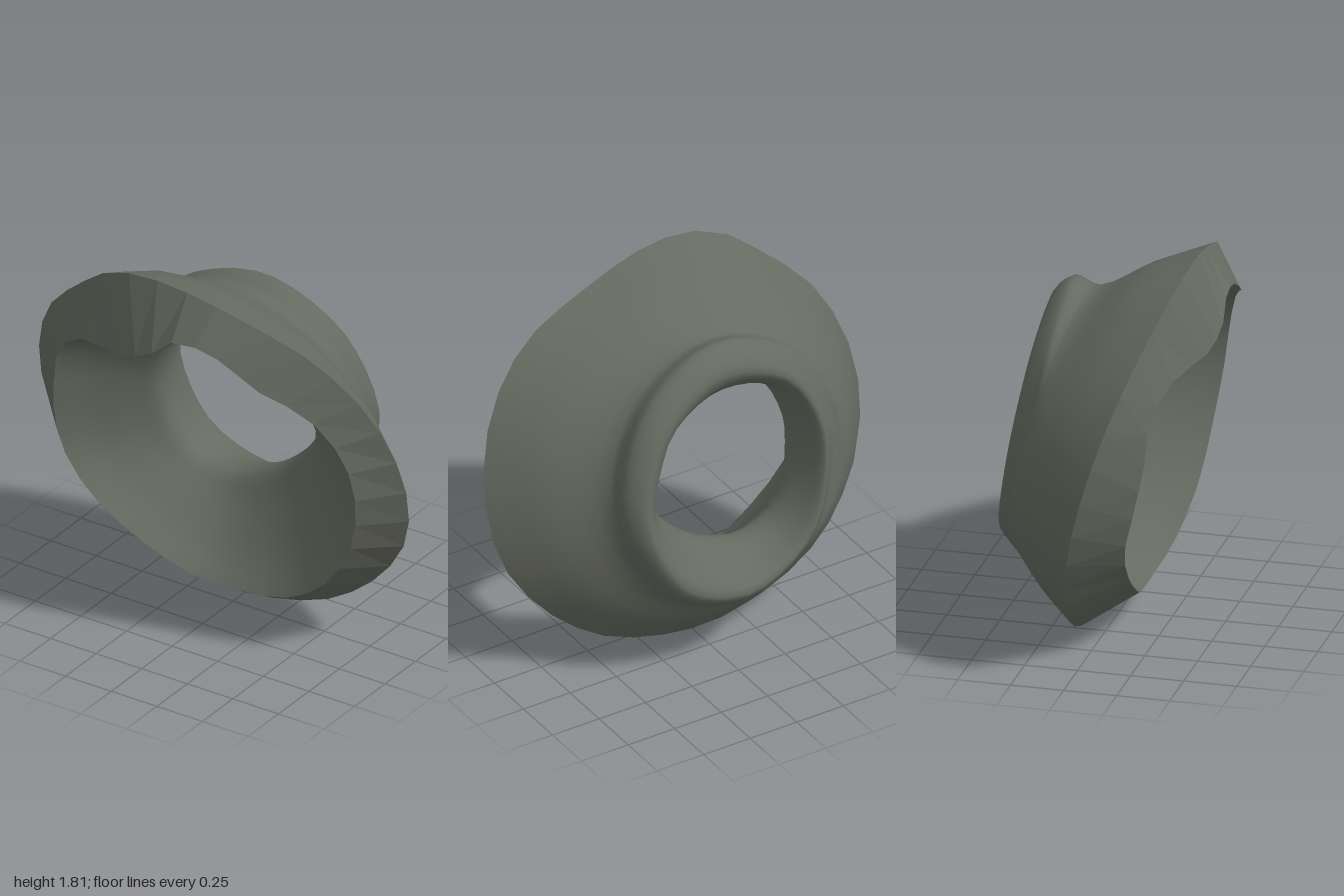
import * as THREE from 'three';

const SIDES = 36;
const stone = new THREE.MeshStandardMaterial({ color: 0x666a60 });
stone.name = 'grey green stone';

// Closed loop through points, resampled at even angles about a centre
function outline(points, cx, cy) {
  const dense = new THREE.CatmullRomCurve3(
    points.map(p => new THREE.Vector3(...p)), true).getPoints(900);
  return Array.from({ length: SIDES }, (_, i) => {
    const a = i / SIDES * Math.PI * 2;
    const facing = p => Math.cos(Math.atan2(p.y - cy, p.x - cx) - a);
    return dense.reduce((best, p) => (facing(p) > facing(best) ? p : best)).clone();
  });
}

// Slightly lumpy tilted ellipse
function oval(cx, cy, rx, ry, depth, lump = 0) {
  return Array.from({ length: SIDES }, (_, i) => {
    const a = i / SIDES * Math.PI * 2;
    const k = 1 + lump * (Math.sin(a * 5 + 1) + Math.sin(a * 8 + 2));
    const x = cx + rx * k * Math.cos(a), y = cy + ry * k * Math.sin(a);
    return new THREE.Vector3(x, y, depth(x, y));
  });
}

// Loop part way between two others, pushed outwards by a factor
function between(a, b, t, bulge, lump = 0) {
  return a.map((p, i) => {
    const q = p.clone().lerp(b[i], t);
    const ang = i / SIDES * Math.PI * 2;
    const k = bulge + lump * (Math.sin(ang * 4 + 0.6) + Math.sin(ang * 7));
    q.x *= k;
    q.y = 0.92 + (q.y - 0.92) * k;
    return q;
  });
}

// Skin a sequence of loops
function loft(loops, flat) {
  const index = [];
  for (let r = 0; r < loops.length - 1; r++) {
    for (let i = 0; i < SIDES; i++) {
      const j = (i + 1) % SIDES;
      const a = r * SIDES + i, b = r * SIDES + j;
      index.push(a, b, b + SIDES, a, b + SIDES, a + SIDES);
    }
  }
  let geo = new THREE.BufferGeometry().setFromPoints(loops.flat());
  geo.setIndex(index);
  if (flat) geo = geo.toNonIndexed();
  geo.computeVertexNormals();
  return geo;
}

export function createModel() {
  const group = new THREE.Group();
  group.name = 'hollowRing';
  const add = (name, geo) => {
    const mesh = new THREE.Mesh(geo, stone);
    mesh.name = name;
    group.add(mesh);
  };

  // Wide outer rim, tilted and slightly dished
  const rimDepth = y => -0.1 + 0.11 * y + 0.087 * y * y;
  const rim = outline([
    [1, 0.9], [0.96, 1.17], [0.86, 1.38], [0.64, 1.59], [0.3, 1.72], [0, 1.8], [-0.2, 1.815],
    [-0.42, 1.77], [-0.65, 1.6], [-0.85, 1.4], [-0.95, 1.2], [-1, 0.95], [-0.96, 0.65],
    [-0.83, 0.42], [-0.65, 0.21], [-0.4, 0.07], [-0.05, 0], [0.4, 0.09], [0.66, 0.25],
    [0.85, 0.45], [0.96, 0.65],
  ].map(([x, y]) => [x, y, rimDepth(y)]), 0, 0.92);

  // Front lip
  const lip = outline([
    [0.85, 0.92, 0.27], [0.8, 1.15, 0.31], [0.65, 1.35, 0.38], [0.45, 1.45, 0.455],
    [0.23, 1.57, 0.48], [0.02, 1.6, 0.5], [-0.12, 1.5, 0.515], [-0.3, 1.43, 0.49],
    [-0.54, 1.4, 0.41], [-0.72, 1.27, 0.34], [-0.77, 1.05, 0.32], [-0.79, 0.8, 0.27],
    [-0.75, 0.6, 0.22], [-0.6, 0.42, 0.2], [-0.35, 0.26, 0.17], [-0.12, 0.16, 0.135],
    [0.1, 0.16, 0.135], [0.4, 0.22, 0.16], [0.65, 0.4, 0.2], [0.8, 0.65, 0.23],
  ], 0, 0.92);

  // Narrow throat, set well forward of the rolled collar
  const back = (x, y) => Math.max(-0.52, -0.6 + 0.18 * y - 0.08 * x);
  const throat = outline([
    [0.33, 0.9], [0.26, 1.1], [0.2, 1.22], [0.08, 1.29], [-0.1, 1.32], [-0.3, 1.28],
    [-0.4, 1.2], [-0.48, 1], [-0.48, 0.87], [-0.45, 0.74], [-0.35, 0.59], [-0.2, 0.54],
    [-0.05, 0.57], [0.1, 0.64], [0.26, 0.78],
  ].map(([x, y]) => [x, y, back(x, y) + 0.27]), -0.08, 0.93);
  const crest = oval(-0.05, 0.96, 0.5, 0.54, back, 0.006);
  const collar = oval(-0.05, 0.97, 0.585, 0.64, (x, y) => back(x, y) + 0.08, 0.006);
  const groove = oval(-0.08, 0.945, 0.625, 0.635, (x, y) => -0.43 + 0.2 * y - 0.1 * x * x);
  const neck = between(throat, crest, 0.3, 1);
  neck.forEach(p => { p.z = back(p.x, p.y) + 0.1; });

  // Flat faceted bevel on the front
  add('frontBevel', loft([rim, lip], true));

  // Smooth skin: funnel, throat, collar and outer slope
  const loops = [
    lip,
    between(lip, throat, 0.35, 1.03, 0.008),
    between(lip, throat, 0.72, 1.01, 0.012),
    throat, neck, crest, collar, groove,
    between(groove, rim, 0.5, 1.025, 0.003),
    rim,
  ];
  const sections = rim.map((_, i) =>
    new THREE.CatmullRomCurve3(loops.map(l => l[i])).getPoints(36));
  const skin = sections[0].map((_, r) => sections.map(s => s[r]));
  add('funnelBody', loft(skin, false));
  return group;
}
